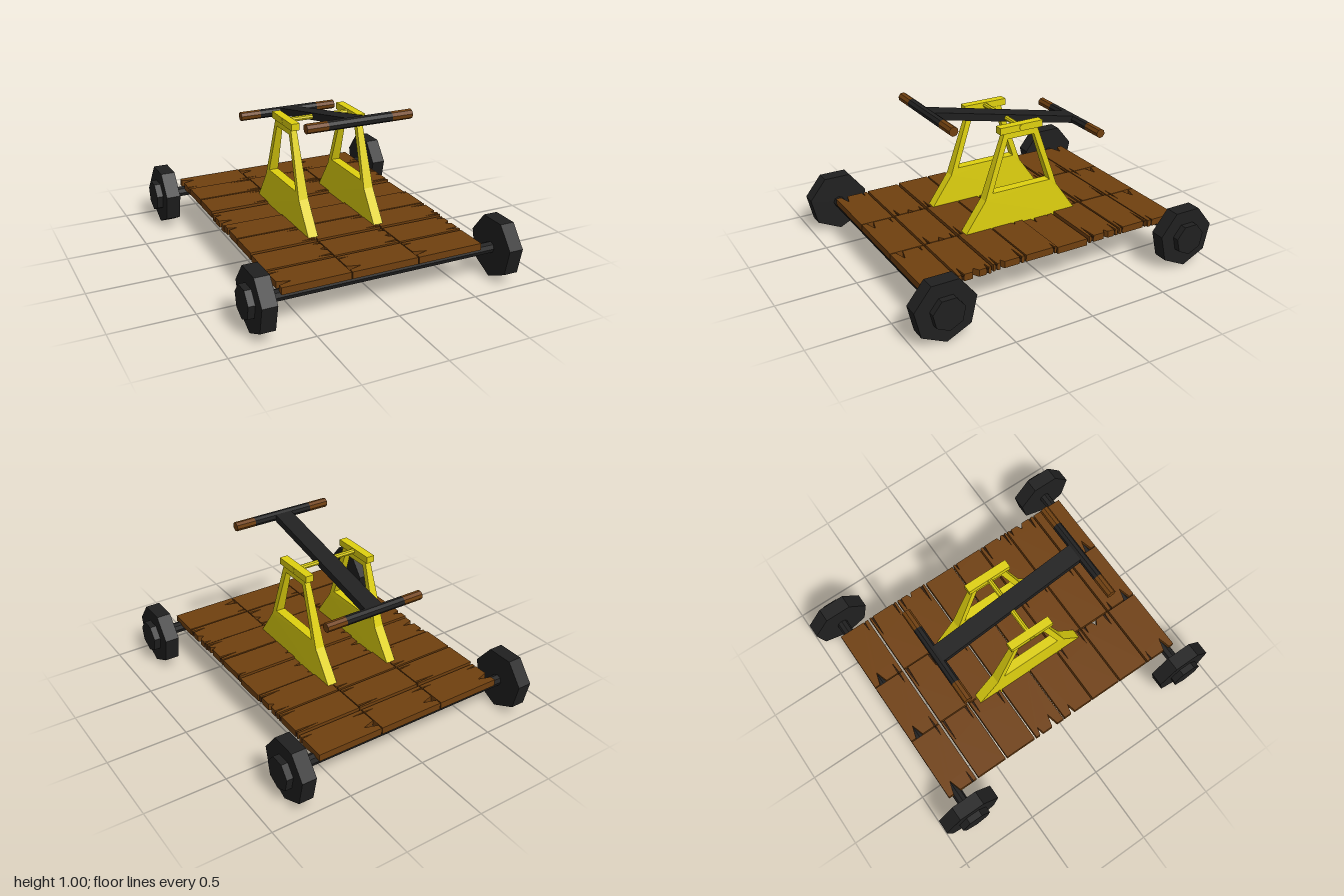
import * as THREE from 'three';

const paint = (color) => new THREE.MeshStandardMaterial({ color, flatShading: true });

export function createModel() {
  const model = new THREE.Group();
  const black = paint(0x202020), wood = paint(0x70400f);
  const darkWood = paint(0x2e1905), yellow = paint(0xdfd10f);

  const add = (name, geometry, material, x = 0, y = 0, z = 0, parent = model) => {
    const mesh = new THREE.Mesh(geometry, material);
    mesh.name = name;
    mesh.position.set(x, y, z);
    parent.add(mesh);
    return mesh;
  };
  // cylinder lying along x
  const rod = (radius, length, sides) =>
    new THREE.CylinderGeometry(radius, radius, length, sides, 1, false, -Math.PI / 2).rotateZ(Math.PI / 2);
  // outline in x and z, extruded downwards from y = 0
  const slab = (points, depth) =>
    new THREE.ExtrudeGeometry(new THREE.Shape(points.map((p) => new THREE.Vector2(...p))),
      { depth, bevelEnabled: false }).rotateX(Math.PI / 2);

  // axles with seven-sided wheels and hubs
  for (const z of [-0.815, 0.815]) {
    add('axle', rod(0.035, 1.46, 8), black, 0, 0.19, z);
    for (const s of [-1, 1]) {
      add('wheel', rod(0.192, 0.09, 7), black, s * 0.765, 0.192, z);
      add('hub', rod(0.1, 0.04, 7), black, s * 0.83, 0.192, z);
    }
  }

  // deck rows: z from, z to, top, splits in the ends as [side, z, depth, half width]
  const rows = [
    [-0.875, -0.672, 0.255, [[-1, -0.815, 0.08, 0.025], [-1, -0.7, 0.08, 0.005], [1, -0.7, 0.07, 0.005]]],
    [-0.658, -0.455, 0.262, [[1, -0.64, 0.15, 0.007], [1, -0.475, 0.1, 0.006]]],
    [-0.443, -0.235, 0.262, [[1, -0.42, 0.09, 0.006], [1, -0.355, 0.03, 0.015], [1, -0.258, 0.13, 0.009]]],
    [-0.22, -0.012, 0.252, [[-1, -0.18, 0.05, 0.012], [-1, -0.08, 0.08, 0.02]]],
    [-0.004, 0.204, 0.262, [[-1, 0.06, 0.06, 0.015], [1, 0.015, 0.05, 0.006]]],
    [0.214, 0.42, 0.262, [[1, 0.24, 0.12, 0.008], [1, 0.36, 0.03, 0.014], [1, 0.4, 0.1, 0.007]]],
    [0.432, 0.64, 0.255, [[1, 0.455, 0.05, 0.008], [1, 0.53, 0.035, 0.02], [1, 0.612, 0.09, 0.009]]],
    [0.652, 0.86, 0.252, [[-1, 0.68, 0.06, 0.006], [-1, 0.805, 0.08, 0.022]]],
  ];
  const deck = new THREE.Group();
  deck.name = 'deck';
  model.add(deck);
  for (const [x0, x1] of [[-0.64, -0.224], [-0.218, 0.198], [0.204, 0.62]]) {
    for (const [z0, z1, top, splits] of rows) {
      const notch = ([side, z, depth, half]) => {
        const x = side > 0 ? x1 : x0;
        return [[x, z - side * half], [x - side * depth, z], [x, z + side * half]];
      };
      const right = splits.filter((s) => s[0] > 0).flatMap(notch);
      const left = splits.filter((s) => s[0] < 0).reverse().flatMap(notch);
      add('plank', slab([[x0, z0], [x1, z0], ...right, [x1, z1], [x0, z1], ...left], 0.043),
        wood, 0, top, 0, deck);
      // narrow cracks keep a dark floor
      for (const s of splits) {
        if (s[3] < 0.01) add('crack', slab(notch(s), 0.025), darkWood, 0, top - 0.01, 0, deck);
      }
    }
  }

  // tapered trestle frames
  const v = (x, y) => new THREE.Vector2(x, y);
  const outline = new THREE.Shape([v(-0.44, 0.18), v(0.44, 0.18), v(0.25, 0.45),
    v(0.113, 0.855), v(-0.113, 0.855), v(-0.25, 0.45)]);
  outline.holes.push(new THREE.Path([v(-0.2, 0.49), v(-0.09, 0.81), v(0.09, 0.81), v(0.2, 0.49)]));
  const frame = new THREE.ExtrudeGeometry(outline, { depth: 2, bevelEnabled: false })
    .translate(0, 0, -1).rotateY(Math.PI / 2);
  const p = frame.attributes.position;
  for (let i = 0; i < p.count; i++) {
    const t = Math.max(0, (p.getY(i) - 0.45) / 0.4);
    p.setX(i, p.getX(i) * (0.031 - 0.013 * t));
  }
  frame.computeVertexNormals();
  for (const x of [-0.231, 0.203]) {
    add('trestleFrame', frame, yellow, x);
    add('trestleCap', new THREE.BoxGeometry(0.052, 0.042, 0.29), yellow, x, 0.868, 0);
  }
  add('pivotRod', rod(0.016, 0.49, 8), yellow, -0.014, 0.87, 0);

  // rocking lever with a handle at each end
  const lever = new THREE.Group();
  lever.name = 'lever';
  lever.position.set(0, 0.87, 0);
  lever.rotation.x = -Math.atan2(0.213, 1);
  model.add(lever);
  add('leverBeam', new THREE.BoxGeometry(0.113, 0.044, 1.0), black, -0.002, 0, 0, lever);
  for (const z of [-0.511, 0.511]) {
    add('handleBar', rod(0.029, 0.4, 8), black, 0, 0, z, lever);
    for (const s of [-1, 1]) add('handleGrip', rod(0.029, 0.13, 8), wood, s * 0.265, 0, z, lever);
  }
  return model;
}
